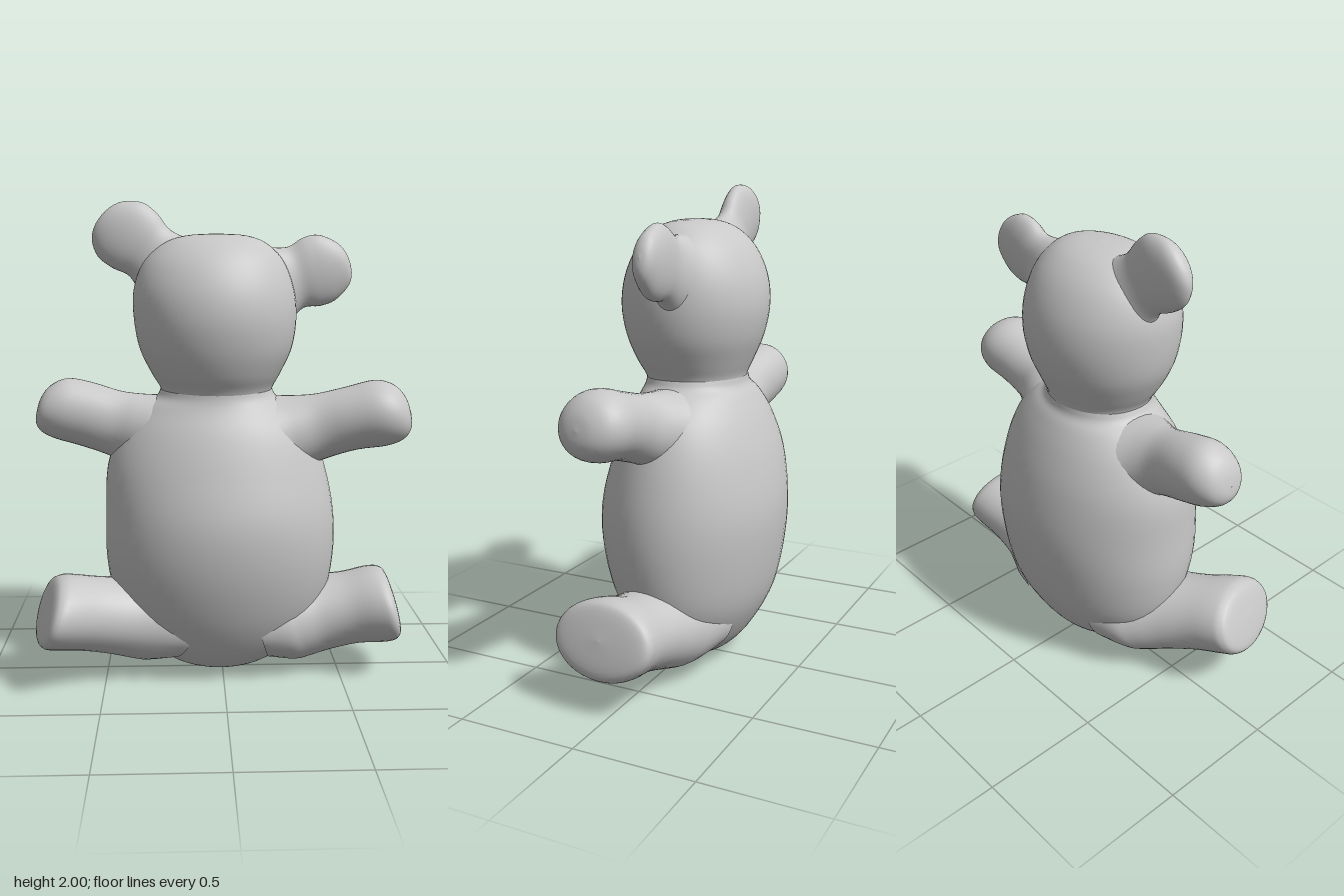
import * as THREE from 'three';

const fur = new THREE.MeshStandardMaterial({ color: 0xc8c8c8 });
fur.name = 'light grey fur';

// Smooth skin over elliptical sections [x, y, z, ru, rv]; u x v points along the travel.
function loft(name, sections, u, v, around = 36, perSpan = 4) {
  const centres = new THREE.CatmullRomCurve3(
    sections.map(s => new THREE.Vector3(s[0], s[1], s[2])), false, 'catmullrom', 0.5);
  const radii = new THREE.CatmullRomCurve3(
    sections.map(s => new THREE.Vector3(s[3], s[4], 0)), false, 'catmullrom', 0.5);
  const steps = (sections.length - 1) * perSpan;
  const pos = [], index = [];
  for (let i = 0; i <= steps; i++) {
    const c = centres.getPoint(i / steps), r = radii.getPoint(i / steps);
    for (let j = 0; j < around; j++) {
      const a = j / around * Math.PI * 2;
      const p = c.clone()
        .addScaledVector(u, Math.max(r.x, 0.0005) * Math.cos(a))
        .addScaledVector(v, Math.max(r.y, 0.0005) * Math.sin(a));
      pos.push(p.x, p.y, p.z);
      if (i < steps) {
        const k = (j + 1) % around, b = i * around, t = b + around;
        index.push(b + j, b + k, t + k, b + j, t + k, t + j);
      }
    }
  }
  const g = new THREE.BufferGeometry();
  g.setAttribute('position', new THREE.Float32BufferAttribute(pos, 3));
  g.setIndex(index);
  g.computeVertexNormals();
  const mesh = new THREE.Mesh(g, fur);
  mesh.name = name;
  return mesh;
}

// Upright part: sections [y, x, z, depth radius, width radius]
function upright(name, rows) {
  return loft(name, rows.map(([y, x, z, depth, width]) => [x, y, z, depth, width]),
    new THREE.Vector3(0, 0, 1), new THREE.Vector3(1, 0, 0), 56);
}

// Limb: sections [x, y, z, height radius, depth radius] square to a direction
function limb(name, dir, sections) {
  const d = new THREE.Vector3(...dir).normalize();
  const v = new THREE.Vector3(0, 0, 1).addScaledVector(d, -d.z).normalize();
  const u = v.clone().cross(d);
  return loft(name, sections, u, v);
}

export function createModel() {
  const bear = new THREE.Group();
  bear.name = 'bear';

  bear.add(upright('body', [
    [0, -0.01, -0.02, 0, 0], [0.018, -0.01, -0.02, 0.09, 0.12],
    [0.06, -0.01, -0.02, 0.165, 0.23], [0.15, -0.01, -0.02, 0.24, 0.345],
    [0.3, -0.01, -0.02, 0.315, 0.445], [0.5, -0.01, -0.012, 0.364, 0.487],
    [0.7, -0.01, -0.013, 0.376, 0.487], [0.9, -0.025, -0.02, 0.337, 0.463],
    [1.05, -0.025, -0.02, 0.287, 0.405], [1.15, -0.025, -0.02, 0.237, 0.32],
    [1.195, -0.025, -0.012, 0.213, 0.255], [1.23, -0.025, -0.01, 0.207, 0.234],
  ]));
  bear.add(upright('head', [
    [1.2, -0.025, -0.01, 0.2, 0.228], [1.24, -0.025, -0.005, 0.212, 0.238],
    [1.3, -0.027, 0, 0.243, 0.272], [1.4, -0.028, 0, 0.282, 0.318],
    [1.52, -0.03, 0, 0.302, 0.338], [1.64, -0.035, 0, 0.287, 0.333],
    [1.75, -0.035, 0, 0.237, 0.293], [1.825, -0.03, 0, 0.165, 0.22],
    [1.86, -0.025, 0, 0.085, 0.13], [1.87, -0.025, 0, 0, 0],
  ]));

  // Arms flare into the shoulders and end in rounded paws
  bear.add(limb('rightArm', [-0.95, 0.2, 0], [
    [-0.22, 1.0, -0.02, 0.2, 0.24], [-0.31, 1.032, -0.02, 0.172, 0.185],
    [-0.38, 1.055, -0.022, 0.153, 0.145], [-0.46, 1.08, -0.03, 0.139, 0.118],
    [-0.58, 1.118, -0.04, 0.137, 0.122], [-0.68, 1.141, -0.04, 0.131, 0.12],
    [-0.745, 1.142, -0.035, 0.1, 0.096], [-0.776, 1.136, -0.03, 0.055, 0.055],
    [-0.784, 1.13, -0.03, 0, 0],
  ]));
  bear.add(limb('leftArm', [0.95, 0.2, 0.12], [
    [0.17, 1.0, 0, 0.2, 0.24], [0.26, 1.03, 0.01, 0.172, 0.185],
    [0.33, 1.05, 0.025, 0.153, 0.15], [0.42, 1.074, 0.045, 0.138, 0.122],
    [0.54, 1.107, 0.06, 0.134, 0.134], [0.66, 1.131, 0.072, 0.14, 0.15],
    [0.735, 1.137, 0.082, 0.116, 0.126], [0.775, 1.135, 0.09, 0.065, 0.07],
    [0.786, 1.133, 0.09, 0, 0],
  ]));

  // Legs flare into the hips and end in broad, softly rimmed soles
  bear.add(limb('rightLeg', [-0.9, 0.34, 0.22], [
    [-0.18, 0.235, -0.02, 0.18, 0.25], [-0.29, 0.245, 0, 0.2, 0.23],
    [-0.36, 0.25, 0.025, 0.188, 0.205], [-0.45, 0.262, 0.065, 0.168, 0.182],
    [-0.56, 0.287, 0.118, 0.158, 0.178], [-0.67, 0.314, 0.174, 0.156, 0.198],
    [-0.717, 0.323, 0.194, 0.148, 0.197], [-0.742, 0.33, 0.198, 0.112, 0.155],
    [-0.75, 0.333, 0.198, 0, 0],
  ]));
  bear.add(limb('leftLeg', [0.95, 0.25, 0.04], [
    [0.16, 0.23, -0.02, 0.18, 0.25], [0.27, 0.235, -0.01, 0.2, 0.23],
    [0.34, 0.238, -0.005, 0.188, 0.205], [0.43, 0.246, 0.002, 0.168, 0.182],
    [0.55, 0.266, 0.015, 0.156, 0.185], [0.66, 0.287, 0.033, 0.163, 0.21],
    [0.715, 0.298, 0.04, 0.153, 0.214], [0.738, 0.306, 0.04, 0.115, 0.165],
    [0.747, 0.31, 0.04, 0, 0],
  ]));

  // Flat round ears on short flared stalks
  bear.add(limb('rightEar', [-0.75, 0.66, 0], [
    [-0.17, 1.66, -0.03, 0.21, 0.16], [-0.235, 1.727, -0.035, 0.158, 0.1],
    [-0.3, 1.79, -0.04, 0.128, 0.066], [-0.36, 1.838, -0.04, 0.145, 0.062],
    [-0.42, 1.885, -0.042, 0.145, 0.058], [-0.47, 1.922, -0.044, 0.105, 0.046],
    [-0.492, 1.94, -0.045, 0.055, 0.026], [-0.498, 1.945, -0.045, 0, 0],
  ]));
  bear.add(limb('leftEar', [0.95, 0.26, 0], [
    [0.17, 1.625, -0.03, 0.21, 0.16], [0.245, 1.66, -0.035, 0.16, 0.1],
    [0.31, 1.69, -0.04, 0.131, 0.066], [0.375, 1.712, -0.04, 0.146, 0.062],
    [0.44, 1.73, -0.042, 0.14, 0.058], [0.505, 1.742, -0.044, 0.095, 0.046],
    [0.532, 1.745, -0.045, 0.05, 0.026], [0.54, 1.746, -0.045, 0, 0],
  ]));

  return bear;
}
